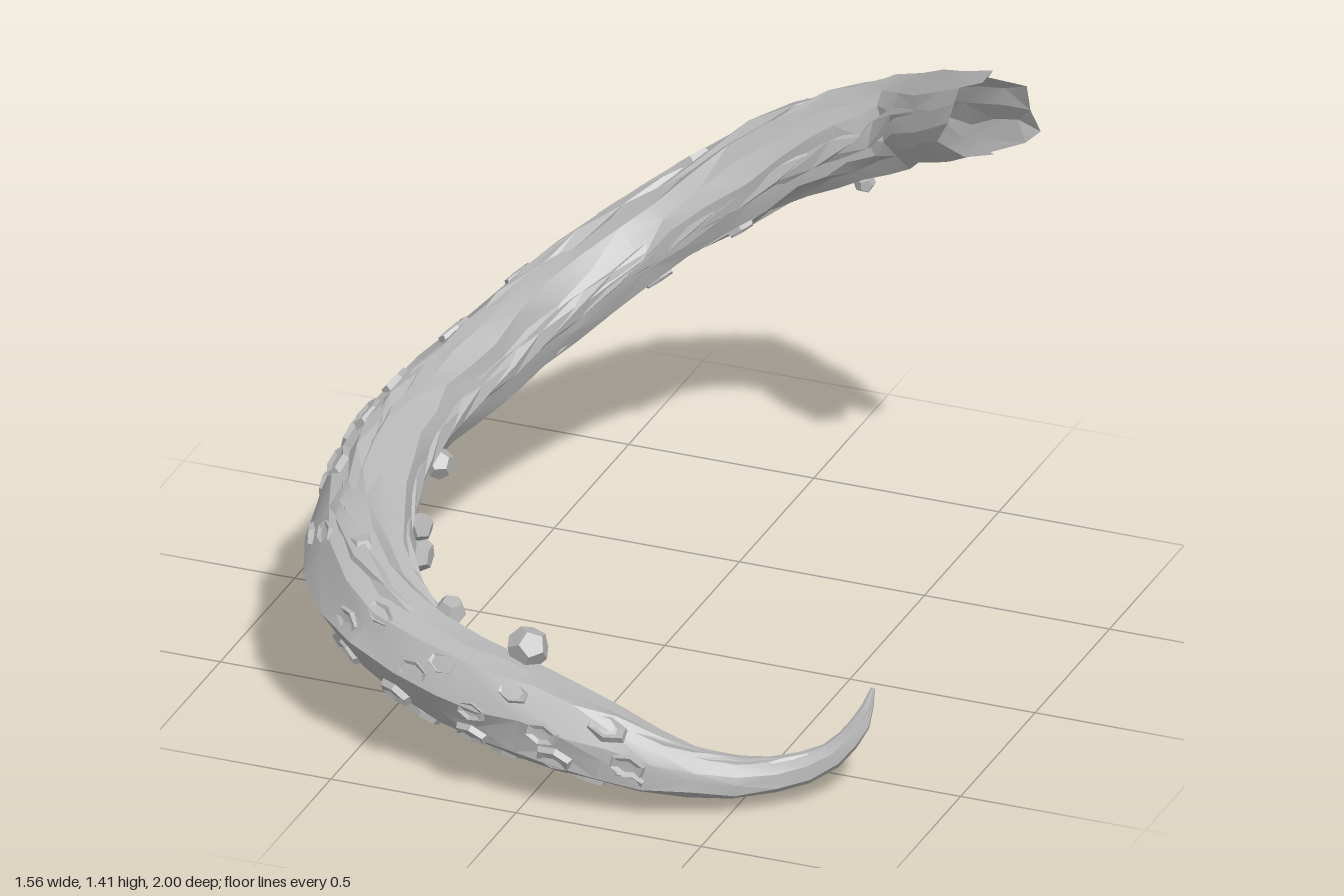
import * as THREE from 'three';
import { toCreasedNormals } from 'three/addons/utils/BufferGeometryUtils.js';

const V = (x, y, z) => new THREE.Vector3(x, y, z);
const bark = new THREE.MeshStandardMaterial({ color: 0xb4b4b4, side: THREE.DoubleSide });
bark.name = 'grey bark';

// Small seeded random, returns -1..1
function seeded(seed) {
  let s = seed;
  return () => {
    s = (s * 16807) % 2147483647;
    return (s / 2147483647) * 2 - 1;
  };
}

// A limb is a list of [x, y, z, radius] stations
function makeLimb(stations) {
  const curve = new THREE.CatmullRomCurve3(stations.map(([x, y, z]) => V(x, y, z)), false, 'centripetal');
  const n = stations.length - 1;
  const frame = (t) => {
    const k = Math.min(n - 1, Math.floor(t * n));
    const radius = THREE.MathUtils.lerp(stations[k][3], stations[k + 1][3], t * n - k);
    const along = curve.getTangent(t);
    const side = along.clone().cross(V(0, 1, 0)).normalize();
    const up = side.clone().cross(along).normalize();
    return { centre: curve.getPoint(t), radius, along, side, up };
  };
  const outward = (f, a) => f.side.clone().multiplyScalar(Math.cos(a)).addScaledVector(f.up, Math.sin(a));
  return { frame, outward, n };
}

// Ridged, slightly twisted skin; torn gives the splinter lengths at the start
function skinLimb(limb, sides, steps, seed, torn) {
  const rnd = seeded(seed);
  const rings = limb.n * steps;
  const pos = [], index = [];
  const grain = Array.from({ length: sides }, (_, j) => (j % 2 ? 0.07 : -0.07) + rnd() * 0.04);
  for (let i = 0; i <= rings; i++) {
    const t = i / rings;
    const f = limb.frame(t);
    for (let j = 0; j < sides; j++) {
      const a = (j / sides) * Math.PI * 2 + t * 2.2 + rnd() * 0.1;
      const r = f.radius * (1.02 + grain[j] * Math.sin(t * 17 + j * 2.1) + grain[j] * 0.6 + rnd() * 0.045);
      const p = f.centre.clone().addScaledVector(limb.outward(f, a), r);
      if (torn && i < 4) p.addScaledVector(f.along, -torn[j] * (1 - i / 4));
      pos.push(p.x, p.y, p.z);
    }
  }
  for (let i = 0; i < rings; i++) {
    for (let j = 0; j < sides; j++) {
      const a = i * sides + j, d = i * sides + ((j + 1) % sides);
      const b = a + sides, c = d + sides;
      // Alternate the diagonals so the facets run like wood grain
      if ((i + j) % 3) index.push(a, b, d, b, c, d);
      else index.push(a, b, c, a, c, d);
    }
  }
  const g = new THREE.BufferGeometry();
  g.setAttribute('position', new THREE.Float32BufferAttribute(pos, 3));
  g.setIndex(index);
  return toCreasedNormals(g, 0.3);
}

export function createModel() {
  const group = new THREE.Group();
  group.name = 'curvedBranch';
  const addGroup = (name) => {
    const g = new THREE.Group();
    g.name = name;
    group.add(g);
    return g;
  };
  const add = (name, geometry, parent = group) => {
    const mesh = new THREE.Mesh(geometry, bark);
    mesh.name = name;
    parent.add(mesh);
    return mesh;
  };

  // Main limb, from the torn open end round to the curled tip
  const main = makeLimb([
    [0.605, 1.305, -0.645, 0.106], [0.45, 1.22, -0.765, 0.104], [0.3, 1.125, -0.885, 0.105],
    [0.15, 1.06, -0.88, 0.108], [0, 0.995, -0.83, 0.11], [-0.18, 0.885, -0.72, 0.108],
    [-0.34, 0.78, -0.59, 0.106], [-0.48, 0.685, -0.4, 0.106], [-0.575, 0.605, -0.2, 0.105],
    [-0.64, 0.555, 0, 0.106], [-0.66, 0.52, 0.2, 0.112], [-0.645, 0.475, 0.4, 0.12],
    [-0.575, 0.41, 0.61, 0.124], [-0.42, 0.325, 0.765, 0.123], [-0.2, 0.265, 0.85, 0.12],
    [0, 0.225, 0.878, 0.115], [0.2, 0.175, 0.87, 0.092], [0.4, 0.112, 0.815, 0.062],
    [0.58, 0.09, 0.715, 0.046], [0.7, 0.125, 0.625, 0.036], [0.755, 0.195, 0.56, 0.025],
    [0.77, 0.275, 0.515, 0.005],
  ]);
  const torn = [0.05, 0.06, -0.07, 0.03, 0.06, 0.01, 0.02, 0.03, -0.08, 0.0, 0.04, -0.06, 0.07, 0.08];
  add('mainLimb', skinLimb(main, 14, 2, 77, torn));

  // Thin strand that splits off below and rejoins near the tip
  const strand = makeLimb([
    [-0.14, 0.2, 0.79, 0.04], [0.04, 0.14, 0.72, 0.042], [0.2, 0.085, 0.675, 0.043],
    [0.4, 0.046, 0.668, 0.04], [0.52, 0.062, 0.685, 0.03], [0.62, 0.09, 0.69, 0.012],
  ]);
  add('splitStrand', skinLimb(strand, 7, 2, 31));

  // Long raised splinters that wind slowly along the upper and inner faces
  const splinters = addGroup('splinters');
  const rnd = seeded(4242);
  for (let i = 0; i < 32; i++) {
    const start = 0.02 + (i / 32) * 0.82;
    const angle = 1.1 + ((i * 1.7) % 3.4);
    const path = Array.from({ length: 6 }, (_, k) => {
      const f = main.frame(start + k * 0.026);
      const p = f.centre.clone().addScaledVector(main.outward(f, angle + k * 0.08), f.radius * 0.86);
      return [p.x, p.y, p.z, f.radius * (0.05 + 0.22 * Math.sin((k / 5) * Math.PI))];
    });
    add('splinter', skinLimb(makeLimb(path), 5, 1, 100 + i), splinters);
  }

  // Six-sided hollow knots in rows, stretched along the grain
  const cup = toCreasedNormals(new THREE.LatheGeometry([
    new THREE.Vector2(1.1, -0.5), new THREE.Vector2(0.95, 0.24),
    new THREE.Vector2(0.55, -0.05), new THREE.Vector2(0.001, -0.1),
  ], 6), 0.3);
  const knots = addGroup('knots');
  const rows = [
    { angle: 0.85, from: 0.16, to: 0.78, count: 13 },
    { angle: 0.15, from: 0.18, to: 0.8, count: 14 },
    { angle: -0.55, from: 0.24, to: 0.8, count: 13 },
    { angle: -1.25, from: 0.14, to: 0.78, count: 13 },
    { angle: -2.2, from: 0.2, to: 0.74, count: 10 },
  ];
  for (const row of rows) {
    for (let i = 0; i < row.count; i++) {
      const t = THREE.MathUtils.lerp(row.from, row.to, (i + 0.5 + rnd() * 0.2) / row.count);
      const f = main.frame(t);
      const out = main.outward(f, row.angle + rnd() * 0.18);
      const size = 0.027 + rnd() * 0.005;
      const knot = add('knot', cup, knots);
      knot.position.copy(f.centre).addScaledVector(out, f.radius * 1.02);
      const across = out.clone().cross(f.along).normalize();
      knot.quaternion.setFromRotationMatrix(new THREE.Matrix4().makeBasis(out.clone().cross(across), out, across));
      knot.scale.set(size * 1.7, size * 0.8, size);
    }
  }

  // Faceted growths: x, y, z, radius
  const growths = addGroup('growths');
  [
    [0.19, 0.935, -0.87, 0.028], [-0.04, 0.38, 0.82, 0.056], [-0.6, 0.225, 0.62, 0.048],
    [-0.49, 0.45, 0.43, 0.038], [-0.52, 0.345, 0.38, 0.05], [-0.55, 0.29, 0.43, 0.047],
    [-0.55, 0.49, 0.67, 0.04], [-0.31, 0.36, 0.67, 0.042], [-0.56, 0.475, 0.13, 0.042],
    [-0.13, 0.12, 0.82, 0.03], [0.36, 0.045, 0.67, 0.036], [-0.4, 0.22, 0.7, 0.04],
  ].forEach(([x, y, z, r], i) => {
    const ball = add('growth', new THREE.DodecahedronGeometry(r), growths);
    ball.position.set(x, y, z);
    ball.rotation.set(i * 0.7, i * 1.3, 0);
  });
  return group;
}
